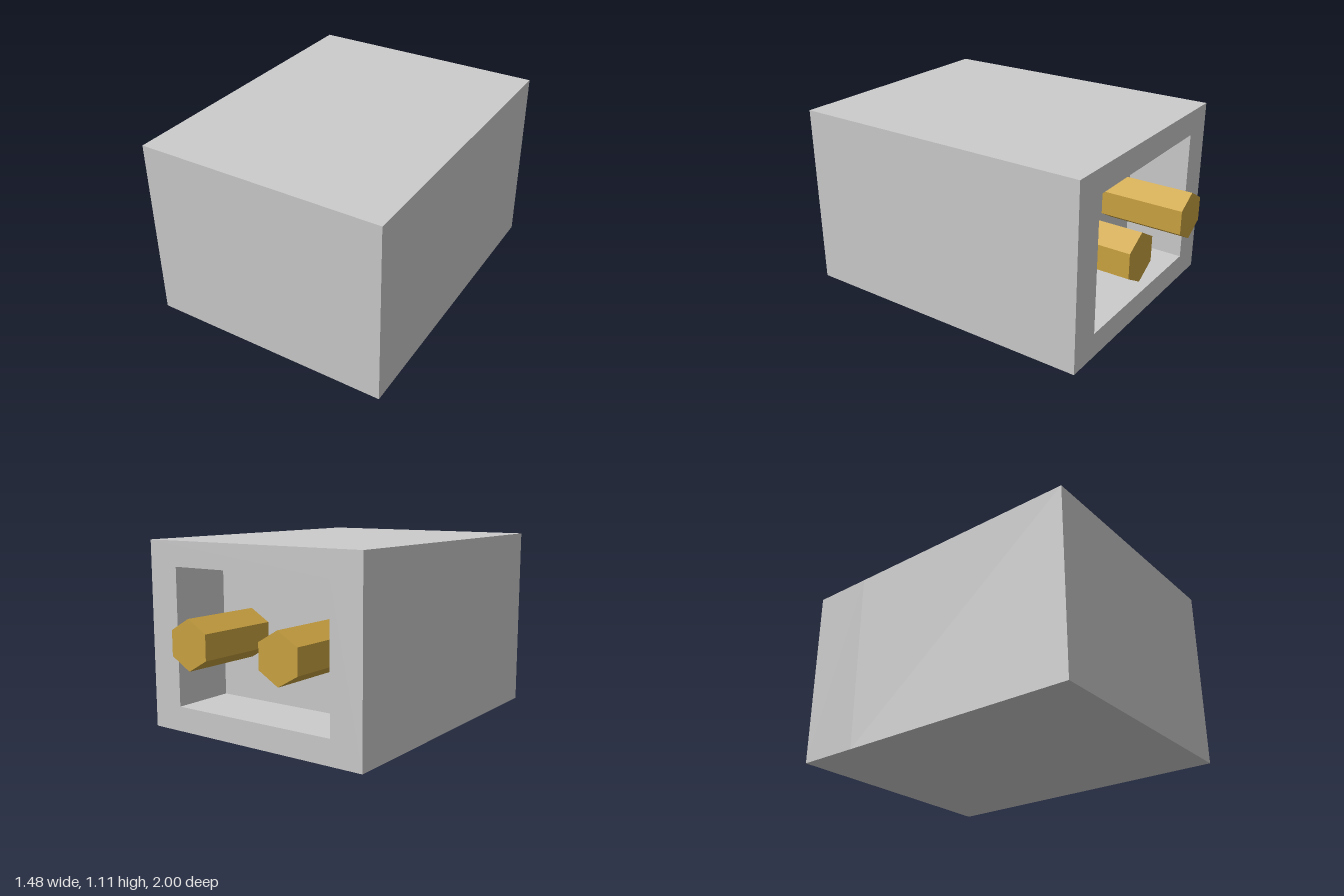
import * as THREE from 'three';

export function createModel() {
  const grey = new THREE.MeshStandardMaterial({ color: 0xcccccc });
  grey.name = 'casing grey';
  const brass = new THREE.MeshStandardMaterial({ color: 0xcca441 });
  brass.name = 'brass';

  const W = 1.48, H = 1.113, FRONT = 1, BACK = -0.865, FLOOR = -0.48, TIP = -1;
  const group = new THREE.Group();
  group.name = 'socketBlock';

  const add = (name, geometry, material, x, y, z) => {
    const mesh = new THREE.Mesh(geometry, material);
    mesh.name = name;
    mesh.position.set(x, y, z);
    group.add(mesh);
    return mesh;
  };

  // Solid front part of the casing
  add('casingBody', new THREE.BoxGeometry(W, H, FRONT - FLOOR), grey, 0, H / 2, (FRONT + FLOOR) / 2);

  // Rim around the recess at the back
  const rectangle = (Type, w, h) => new Type([
    new THREE.Vector2(-w / 2, -h / 2), new THREE.Vector2(w / 2, -h / 2),
    new THREE.Vector2(w / 2, h / 2), new THREE.Vector2(-w / 2, h / 2),
  ]);
  const rim = rectangle(THREE.Shape, W, H);
  rim.holes.push(rectangle(THREE.Path, 1.08, 0.817));
  const rimGeometry = new THREE.ExtrudeGeometry(rim, { depth: FLOOR - BACK, bevelEnabled: false });
  add('recessRim', rimGeometry, grey, 0, H / 2, BACK);

  // Hexagonal pins standing on the recess floor
  const pinGeometry = new THREE.CylinderGeometry(0.147, 0.147, FLOOR - TIP, 6).toNonIndexed();
  pinGeometry.rotateX(Math.PI / 2);
  pinGeometry.computeVertexNormals();
  for (const side of [1, -1]) {
    add(side > 0 ? 'leftPin' : 'rightPin', pinGeometry, brass, side * 0.315, H / 2, (FLOOR + TIP) / 2);
  }

  return group;
}
